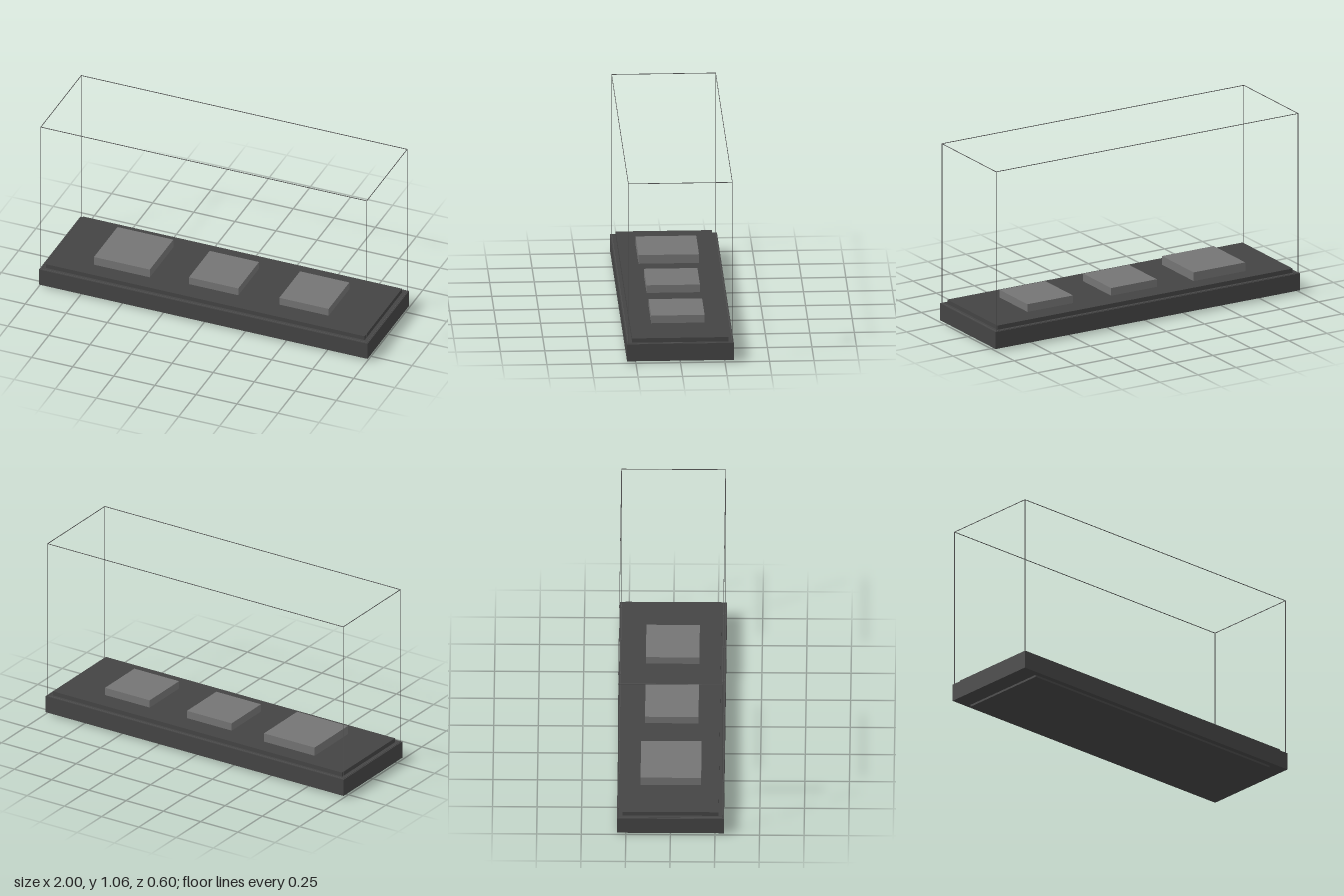
import * as THREE from 'three';

const mat = (name, color) => {
  const m = new THREE.MeshStandardMaterial({ color });
  m.name = name;
  return m;
};

export function createModel() {
  const group = new THREE.Group();
  const dark = mat('charcoal base', 0x444444);
  const grey = mat('grey pedestal', 0x747474);
  const edge = mat('case edge', 0x505050);

  // Box spanning y0..y1, centred on x and z
  const box = (name, material, w, y0, y1, d, x = 0, z = 0, parent = group) => {
    const mesh = new THREE.Mesh(new THREE.BoxGeometry(w, y1 - y0, d), material);
    mesh.position.set(x, (y0 + y1) / 2, z);
    mesh.name = name;
    parent.add(mesh);
  };

  // Stepped base
  box('foot', dark, 1.78, 0, 0.012, 0.54);
  box('plinth', dark, 2, 0.012, 0.112, 0.6);
  box('deck', dark, 1.94, 0.112, 0.137, 0.54);

  // Display pedestals, the one on the model's right being larger
  for (const [x, size, top] of [[-0.55, 0.34, 0.188], [0, 0.3, 0.182], [0.55, 0.3, 0.182]]) {
    box('pedestal', grey, size, 0.137, top, size, x);
  }

  // Fine outline of the clear case
  const frame = new THREE.Group();
  frame.name = 'caseFrame';
  group.add(frame);
  const t = 0.003, X = 0.992, Z = 0.292, bottom = 0.112, top = 1.058;
  for (const s of [-1, 1]) {
    for (const r of [-1, 1]) box('cornerEdge', edge, t, bottom, top, t, s * X, r * Z, frame);
    for (const y of [bottom, top - t]) {
      box('longEdge', edge, 2 * X + t, y, y + t, t, 0, s * Z, frame);
      box('shortEdge', edge, t, y, y + t, 2 * Z, s * X, 0, frame);
    }
  }
  return group;
}
